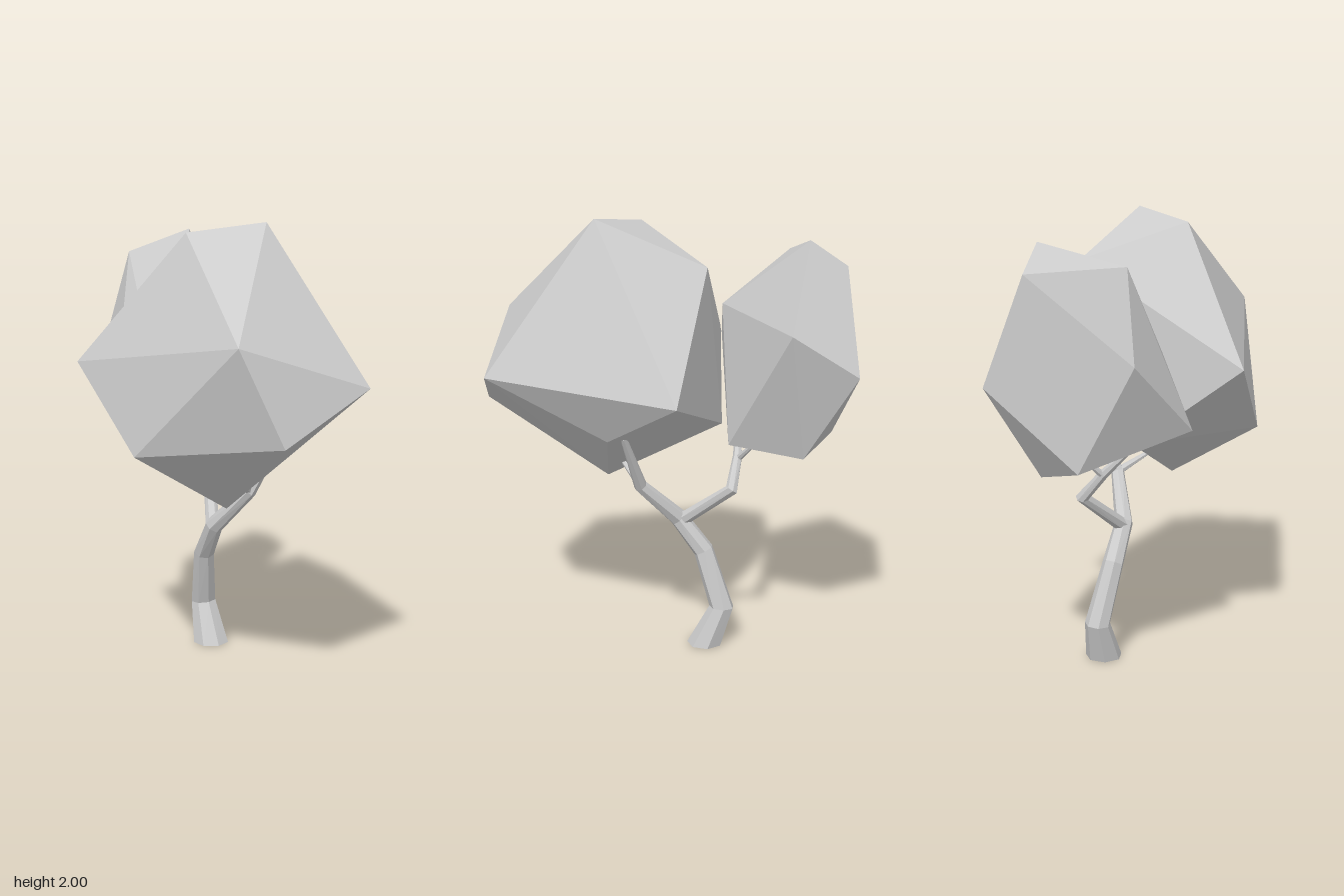
import * as THREE from 'three';
import { ConvexGeometry } from 'three/addons/geometries/ConvexGeometry.js';

const SIDES = 7;
const UP = new THREE.Vector3(0, 1, 0);
const material = () => new THREE.MeshStandardMaterial({ color: 0xcccccc, flatShading: true });

// Tapered limb: rings [x, y, z, radius] joined into a faceted, capped tube
function limb(name, rings, levelBase = false) {
  const centres = rings.map(([x, y, z]) => new THREE.Vector3(x, y, z));
  const last = rings.length - 1;
  const pos = [], index = [];
  rings.forEach(([, , , r], i) => {
    const dirIn = centres[Math.max(i, 1)].clone().sub(centres[Math.max(i, 1) - 1]).normalize();
    const k = Math.min(i, last - 1);
    const dirOut = centres[k + 1].clone().sub(centres[k]).normalize();
    const dir = i === 0 && levelBase ? UP : dirIn.add(dirOut).normalize();
    const turn = new THREE.Quaternion().setFromUnitVectors(UP, dir);
    for (let j = 0; j < SIDES; j++) {
      const a = (j / SIDES) * Math.PI * 2;
      const p = new THREE.Vector3(Math.cos(a) * r, 0, Math.sin(a) * r);
      pos.push(...p.applyQuaternion(turn).add(centres[i]).toArray());
    }
  });
  const bottom = rings.length * SIDES, top = bottom + 1;
  pos.push(...centres[0].toArray(), ...centres[last].toArray());
  for (let j = 0; j < SIDES; j++) {
    const n = (j + 1) % SIDES;
    for (let i = 0; i < last; i++) {
      const a = i * SIDES + j, b = i * SIDES + n;
      index.push(a, a + SIDES, b, b, a + SIDES, b + SIDES);
    }
    index.push(bottom, j, n, top, last * SIDES + n, last * SIDES + j);
  }
  const geo = new THREE.BufferGeometry();
  geo.setAttribute('position', new THREE.Float32BufferAttribute(pos, 3));
  geo.setIndex(index);
  geo.computeVertexNormals();
  const mesh = new THREE.Mesh(geo, material());
  mesh.name = name;
  return mesh;
}

// Faceted foliage: convex boulder around a dozen corners
function crown(name, corners) {
  const geo = new ConvexGeometry(corners.map((c) => new THREE.Vector3(...c)));
  const mesh = new THREE.Mesh(geo, material());
  mesh.name = name;
  return mesh;
}

export function createModel() {
  const tree = new THREE.Group();
  tree.name = 'tree';

  // Crooked trunk, leaning up into the large crown
  tree.add(limb('trunk', [
    [-0.135, 0, -0.145, 0.083],
    [-0.185, 0.185, -0.205, 0.058],
    [-0.16, 0.45, -0.11, 0.048],
    [-0.09, 0.605, -0.015, 0.042],
    [0.09, 0.79, 0.055, 0.031],
    [0.24, 1.06, 0.01, 0.015],
  ], true));

  // Side branch carrying the small crown, with its twig
  tree.add(limb('sideBranch', [
    [-0.1, 0.6, -0.03, 0.033],
    [-0.17, 0.785, -0.27, 0.03],
    [-0.27, 0.91, -0.215, 0.022],
    [-0.37, 1.04, -0.13, 0.012],
  ]));
  tree.add(limb('sideTwig', [
    [-0.265, 0.9, -0.22, 0.016],
    [-0.26, 1.0, -0.33, 0.009],
  ]));

  // Short twig reaching forward into the large crown
  tree.add(limb('frontTwig', [
    [0.09, 0.79, 0.05, 0.02],
    [0.06, 0.87, 0.2, 0.01],
  ]));

  tree.add(crown('largeCrown', [
    [0.195, 2.0, 0.23], [-0.145, 1.955, 0.275], [-0.055, 1.81, -0.215],
    [-0.65, 1.385, 0.24], [0.24, 1.25, -0.315], [0.67, 1.335, 0.435],
    [0.195, 1.535, 0.82], [0.375, 1.13, 0.775], [-0.305, 1.03, 0.56],
    [0.04, 0.77, 0.32], [0.3, 1.045, 0.05], [-0.31, 1.03, -0.08],
  ]));

  tree.add(crown('smallCrown', [
    [-0.33, 1.935, -0.555], [-0.44, 1.825, -0.675], [-0.55, 1.84, -0.265],
    [-0.16, 1.55, -0.61], [-0.36, 1.37, -0.82], [-0.67, 1.455, -0.3],
    [-0.26, 1.61, -0.12], [-0.39, 1.44, 0], [-0.54, 1.125, 0.06],
    [-0.58, 1.02, -0.51], [-0.33, 0.955, -0.55], [-0.2, 0.98, -0.22],
  ]));

  return tree;
}
